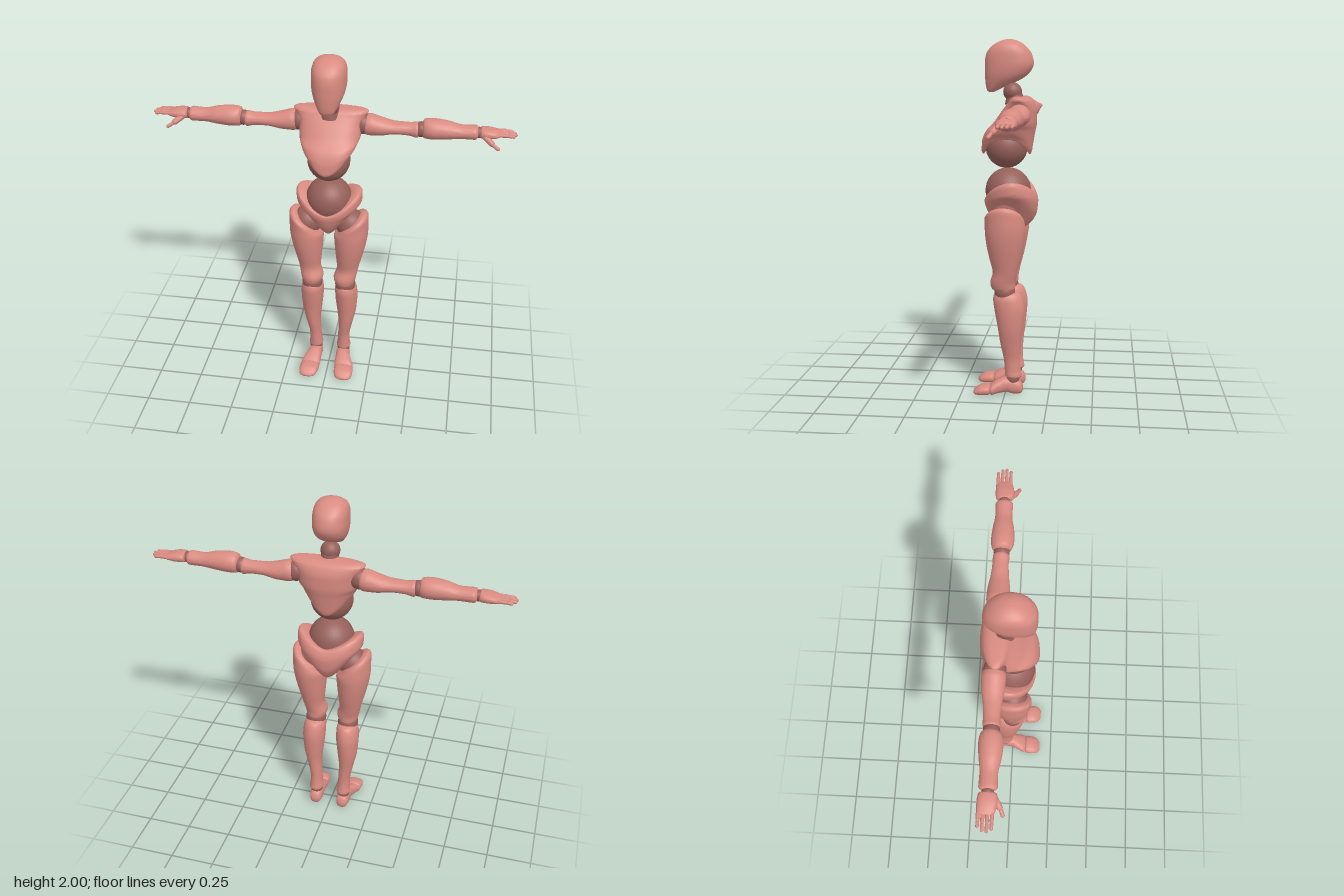
import * as THREE from 'three';
import { toCreasedNormals } from 'three/addons/utils/BufferGeometryUtils.js';

const shell = new THREE.MeshStandardMaterial({ color: 0xd98b81 });
shell.name = 'salmon shell';
const joint = new THREE.MeshStandardMaterial({ color: 0x96605a });
joint.name = 'dark joint';

// Smooth monotone interpolation of section rows
function refine(rows, steps) {
  const full = rows.map(r => Array.from({ length: 8 }, (_, k) => r[k] ?? 0));
  const last = full.length - 1;
  const slope = (j, k) => {
    const d0 = j > 0 ? full[j][k] - full[j - 1][k] : null;
    const d1 = j < last ? full[j + 1][k] - full[j][k] : null;
    if (d0 === null) return d1;
    if (d1 === null) return d0;
    return d0 * d1 > 0 ? 2 * d0 * d1 / (d0 + d1) : 0;
  };
  const out = [];
  for (let j = 0; j < last; j++) {
    for (let s = 0; s < steps; s++) {
      const t = s / steps, t2 = t * t, t3 = t2 * t;
      out.push(full[j].map((p, k) =>
        p * (2 * t3 - 3 * t2 + 1) + slope(j, k) * (t3 - 2 * t2 + t) +
        full[j + 1][k] * (3 * t2 - 2 * t3) + slope(j + 1, k) * (t3 - t2)));
    }
  }
  out.push(full[last]);
  return out;
}

// Closed loft. Row: [h, a0, a1, b0, b1, lift, skewB, skewA].
// (a, b) is (y, z) along x, (z, x) along y and (x, y) along z.
function loft(axis, rows, { n = 2, sides = 36, steps = 4 } = {}) {
  const sections = refine(rows, steps);
  const pos = [], index = [];
  const put = (h, a, b) => pos.push(...(axis === 'x' ? [h, a, b] : axis === 'y' ? [b, h, a] : [a, b, h]));
  const bend = v => Math.sign(v) * Math.abs(v) ** (2 / n);
  for (const [h, a0, a1, b0, b1, lift, skewB, skewA] of sections) {
    for (let i = 0; i < sides; i++) {
      const t = i / sides * Math.PI * 2, c = bend(Math.cos(t)), s = bend(Math.sin(t));
      put(h + lift * Math.abs(s) ** 1.5 + skewB * s + skewA * c,
        (a0 + a1) / 2 + (a1 - a0) / 2 * c, (b0 + b1) / 2 + (b1 - b0) / 2 * s);
    }
  }
  const top = sections.length - 1;
  for (let j = 0; j < top; j++) {
    for (let i = 0; i < sides; i++) {
      const k = (i + 1) % sides, p = j * sides, q = p + sides;
      index.push(p + i, p + k, q + k, p + i, q + k, q + i);
    }
  }
  // End caps
  for (const j of [0, top]) {
    const [h, a0, a1, b0, b1] = sections[j];
    const centre = pos.length / 3;
    put(h, (a0 + a1) / 2, (b0 + b1) / 2);
    for (let i = 0; i < sides; i++) {
      const p = j * sides + i, q = j * sides + (i + 1) % sides;
      index.push(centre, j ? p : q, j ? q : p);
    }
  }
  const geo = new THREE.BufferGeometry();
  geo.setAttribute('position', new THREE.Float32BufferAttribute(pos, 3));
  geo.setIndex(index);
  return toCreasedNormals(geo, 1);
}

function ball(x, y, z, r) {
  return new THREE.SphereGeometry(r, 32, 20).translate(x, y, z).toNonIndexed();
}

// Capsule between two points
function capsule(from, to, r) {
  const a = new THREE.Vector3(...from), b = new THREE.Vector3(...to);
  const dir = b.clone().sub(a);
  const turn = new THREE.Quaternion().setFromUnitVectors(new THREE.Vector3(0, 1, 0), dir.clone().normalize());
  const mid = a.add(b).multiplyScalar(0.5);
  return new THREE.CapsuleGeometry(r, dir.length(), 5, 12).applyQuaternion(turn)
    .translate(mid.x, mid.y, mid.z).toNonIndexed();
}

// Mirrored copy across x with the corner order restored
function mirrored(geo) {
  const copy = geo.clone().scale(-1, 1, 1);
  for (const name of ['position', 'normal']) {
    const arr = copy.attributes[name].array;
    for (let i = 0; i < arr.length; i += 9) {
      for (let k = 0; k < 3; k++) [arr[i + k], arr[i + 6 + k]] = [arr[i + 6 + k], arr[i + k]];
    }
  }
  return copy;
}

export function createModel() {
  const model = new THREE.Group();
  model.name = 'jointedFigure';
  const add = (name, geo, mat = shell) => {
    const mesh = new THREE.Mesh(geo, mat);
    mesh.name = name;
    model.add(mesh);
  };
  const pair = (name, geo, mat = shell) => {
    add(name + 'Left', geo, mat);
    add(name + 'Right', mirrored(geo), mat);
  };

  // Head and neck
  add('head', loft('y', [
    [1.712, 0.075, 0.095, -0.02, 0.02], [1.72, 0.055, 0.106, -0.036, 0.036],
    [1.74, 0.015, 0.113, -0.05, 0.05], [1.76, -0.03, 0.116, -0.062, 0.062],
    [1.78, -0.075, 0.118, -0.073, 0.073], [1.82, -0.128, 0.12, -0.087, 0.087],
    [1.87, -0.15, 0.12, -0.093, 0.093], [1.92, -0.138, 0.112, -0.092, 0.092],
    [1.96, -0.108, 0.083, -0.083, 0.083], [1.985, -0.073, 0.045, -0.058, 0.058],
    [1.997, -0.04, 0.012, -0.026, 0.026], [2, -0.02, -0.01, -0.005, 0.005]], { n: 2.3 }));
  add('neckBall', ball(0, 1.715, -0.033, 0.052), joint);
  add('neckBase', new THREE.CylinderGeometry(0.043, 0.055, 0.06, 32).translate(0, 1.675, -0.045), joint);

  // Chest shell with a rim dipping at front and back
  add('chest', loft('y', [
    [1.4, -0.09, 0.09, -0.09, 0.09, 0.06], [1.385, -0.115, 0.115, -0.105, 0.105, 0.075],
    [1.37, -0.13, 0.13, -0.115, 0.115, 0.09], [1.385, -0.14, 0.139, -0.122, 0.122, 0.085],
    [1.43, -0.148, 0.137, -0.14, 0.14, 0.06], [1.49, -0.158, 0.118, -0.155, 0.155, 0.03],
    [1.55, -0.168, 0.068, -0.167, 0.167], [1.61, -0.168, 0.025, -0.17, 0.17],
    [1.655, -0.155, -0.01, -0.19, 0.19], [1.675, -0.14, -0.025, -0.203, 0.203],
    [1.688, -0.115, -0.045, -0.17, 0.17], [1.69, -0.09, -0.06, -0.1, 0.1]], { n: 2.3, sides: 56 }));
  add('abdomenBall', ball(0, 1.411, 0, 0.117), joint);

  // Pelvis with high hips and a low crotch
  add('waistBall', ball(0, 1.167, -0.009, 0.128), joint);
  add('pelvis', loft('y', [
    [0.955, -0.08, 0.03, -0.025, 0.025], [0.965, -0.11, 0.045, -0.05, 0.05, 0.015],
    [1, -0.148, 0.08, -0.095, 0.095, 0.045], [1.05, -0.172, 0.108, -0.152, 0.152, 0.07],
    [1.1, -0.178, 0.122, -0.183, 0.183, 0.06, 0, -0.01],
    [1.125, -0.168, 0.124, -0.185, 0.185, 0.08, 0, -0.02],
    [1.142, -0.15, 0.118, -0.172, 0.172, 0.085, 0, -0.025],
    [1.138, -0.13, 0.105, -0.145, 0.145, 0.08, 0, -0.025],
    [1.12, -0.09, 0.07, -0.1, 0.1, 0.06]], { sides: 56 }));

  // Legs
  pair('hipBall', ball(0.122, 1.02, 0, 0.084), joint);
  pair('thigh', loft('y', [
    [0.608, -0.04, 0.05, 0.06, 0.135], [0.625, -0.058, 0.075, 0.04, 0.151],
    [0.66, -0.06, 0.082, 0.031, 0.16], [0.72, -0.072, 0.067, 0.048, 0.172],
    [0.8, -0.092, 0.084, 0.041, 0.192], [0.88, -0.108, 0.1, 0.034, 0.211],
    [0.96, -0.118, 0.108, 0.03, 0.224, 0, 0.02], [1.02, -0.11, 0.108, 0.05, 0.224, 0, 0.05],
    [1.045, -0.09, 0.09, 0.07, 0.21, 0, 0.05], [1.05, -0.06, 0.06, 0.1, 0.185, 0, 0.04]]));
  pair('kneeBall', ball(0.097, 0.602, 0, 0.059), joint);
  pair('shin', loft('y', [
    [0.098, -0.085, -0.012, 0.053, 0.117], [0.112, -0.096, 0, 0.043, 0.127],
    [0.145, -0.09, 0.002, 0.048, 0.122], [0.2, -0.086, 0.006, 0.052, 0.122],
    [0.3, -0.092, 0.025, 0.055, 0.14], [0.4, -0.104, 0.04, 0.046, 0.16],
    [0.5, -0.112, 0.058, 0.036, 0.167], [0.56, -0.102, 0.066, 0.035, 0.163],
    [0.593, -0.085, 0.06, 0.045, 0.15], [0.605, -0.06, 0.04, 0.06, 0.135]]));
  pair('ankleBall', ball(0.085, 0.093, -0.045, 0.037), joint);
  pair('foot', loft('z', [
    [-0.102, 0.068, 0.1, 0.022, 0.05], [-0.09, 0.052, 0.115, 0.006, 0.075],
    [-0.05, 0.045, 0.122, 0.003, 0.095], [-0.01, 0.045, 0.126, 0.013, 0.1],
    [0.04, 0.045, 0.145, 0.008, 0.083], [0.072, 0.045, 0.158, 0.001, 0.065],
    [0.085, 0.06, 0.148, 0.012, 0.052]], { n: 2.4 }));
  pair('toes', loft('z', [
    [0.08, 0.06, 0.15, 0.012, 0.048], [0.092, 0.047, 0.16, 0.002, 0.06],
    [0.13, 0.05, 0.162, 0, 0.055], [0.162, 0.062, 0.154, 0.002, 0.038],
    [0.177, 0.085, 0.135, 0.01, 0.025]], { n: 2.4 }));

  // Arms
  pair('shoulderBall', ball(0.172, 1.6, -0.085, 0.058), joint);
  pair('upperArm', loft('x', [
    [0.168, 1.57, 1.625, -0.115, -0.06], [0.18, 1.545, 1.648, -0.14, -0.035],
    [0.21, 1.537, 1.655, -0.15, -0.026], [0.27, 1.54, 1.638, -0.148, -0.03],
    [0.35, 1.553, 1.62, -0.135, -0.04], [0.42, 1.55, 1.62, -0.13, -0.045],
    [0.462, 1.54, 1.627, -0.13, -0.042], [0.478, 1.553, 1.615, -0.118, -0.055]]));
  pair('elbowBall', ball(0.485, 1.588, -0.085, 0.042), joint);
  pair('forearm', loft('x', [
    [0.49, 1.56, 1.63, -0.115, -0.055], [0.502, 1.542, 1.648, -0.135, -0.035],
    [0.55, 1.54, 1.652, -0.145, -0.021], [0.62, 1.545, 1.645, -0.14, -0.026],
    [0.7, 1.553, 1.627, -0.13, -0.04], [0.77, 1.553, 1.63, -0.132, -0.038],
    [0.785, 1.566, 1.617, -0.118, -0.052]]));
  pair('wristBall', ball(0.79, 1.592, -0.085, 0.03), joint);

  // Hands
  pair('palm', loft('x', [
    [0.792, 1.577, 1.607, -0.11, -0.06], [0.803, 1.567, 1.622, -0.13, -0.04],
    [0.84, 1.567, 1.62, -0.136, -0.035], [0.89, 1.575, 1.608, -0.135, -0.045],
    [0.905, 1.583, 1.602, -0.13, -0.052]], { n: 2.4 }));
  const tips = [0.968, 0.985, 0.99, 0.978];
  tips.forEach((tip, i) => {
    const z = -0.126 + i * 0.0225, mid = 0.5 * (0.9 + tip);
    pair('fingerBase' + (i + 1), capsule([0.898, 1.594, z], [mid - 0.006, 1.594, z], 0.0095));
    pair('fingerTip' + (i + 1), capsule([mid + 0.006, 1.593, z], [tip - 0.0085, 1.591, z], 0.0085));
  });
  pair('thumbBase', capsule([0.822, 1.583, -0.05], [0.858, 1.56, -0.026], 0.016));
  pair('thumbTip', capsule([0.862, 1.557, -0.022], [0.893, 1.539, -0.009], 0.01));

  return model;
}
